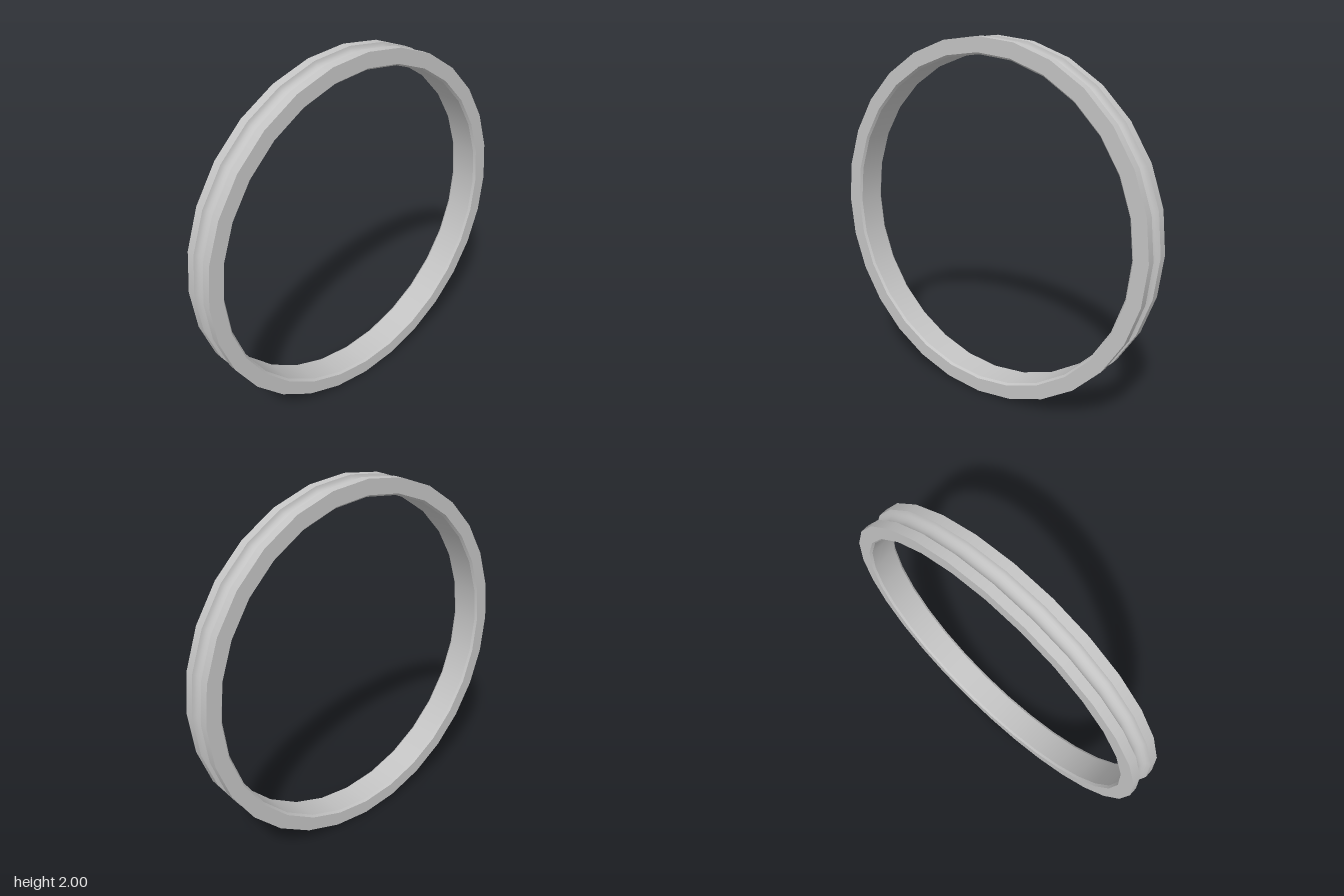
import * as THREE from 'three';

const SEGMENTS = 28;

export function createModel() {
  const group = new THREE.Group();
  group.name = 'groovedRing';
  const metal = new THREE.MeshStandardMaterial({ color: 0xc4c4c4 });
  metal.name = 'light grey metal';

  const half = 0.09, outer = 1, bore = 0.91, lip = 0.92, chamferZ = 0.077;
  const grooveHalf = 0.04, grooveDepth = 0.038;

  // Each strip is its own lathe, so edges between strips stay sharp.
  // Points are [radius, z], running up the outside and down the bore.
  const strip = (name, points) => {
    const geometry = new THREE.LatheGeometry(
      points.map(([r, z]) => new THREE.Vector2(r, z)), SEGMENTS);
    geometry.rotateX(Math.PI / 2);
    const mesh = new THREE.Mesh(geometry, metal);
    mesh.name = name;
    mesh.position.y = 1;
    group.add(mesh);
  };

  // Rounded groove around the rim
  const groove = [];
  for (let i = 0; i <= 10; i++) {
    const a = Math.PI * i / 10;
    groove.push([outer - grooveDepth * Math.sin(a), -grooveHalf * Math.cos(a)]);
  }

  strip('backRim', [[outer, -half], [outer, -grooveHalf]]);
  strip('groove', groove);
  strip('frontRim', [[outer, grooveHalf], [outer, half]]);
  strip('frontFace', [[outer, half], [lip, half]]);
  strip('frontChamfer', [[lip, half], [bore, chamferZ]]);
  strip('bore', [[bore, chamferZ], [bore, -chamferZ]]);
  strip('backChamfer', [[bore, -chamferZ], [lip, -half]]);
  strip('backFace', [[lip, -half], [outer, -half]]);

  return group;
}
